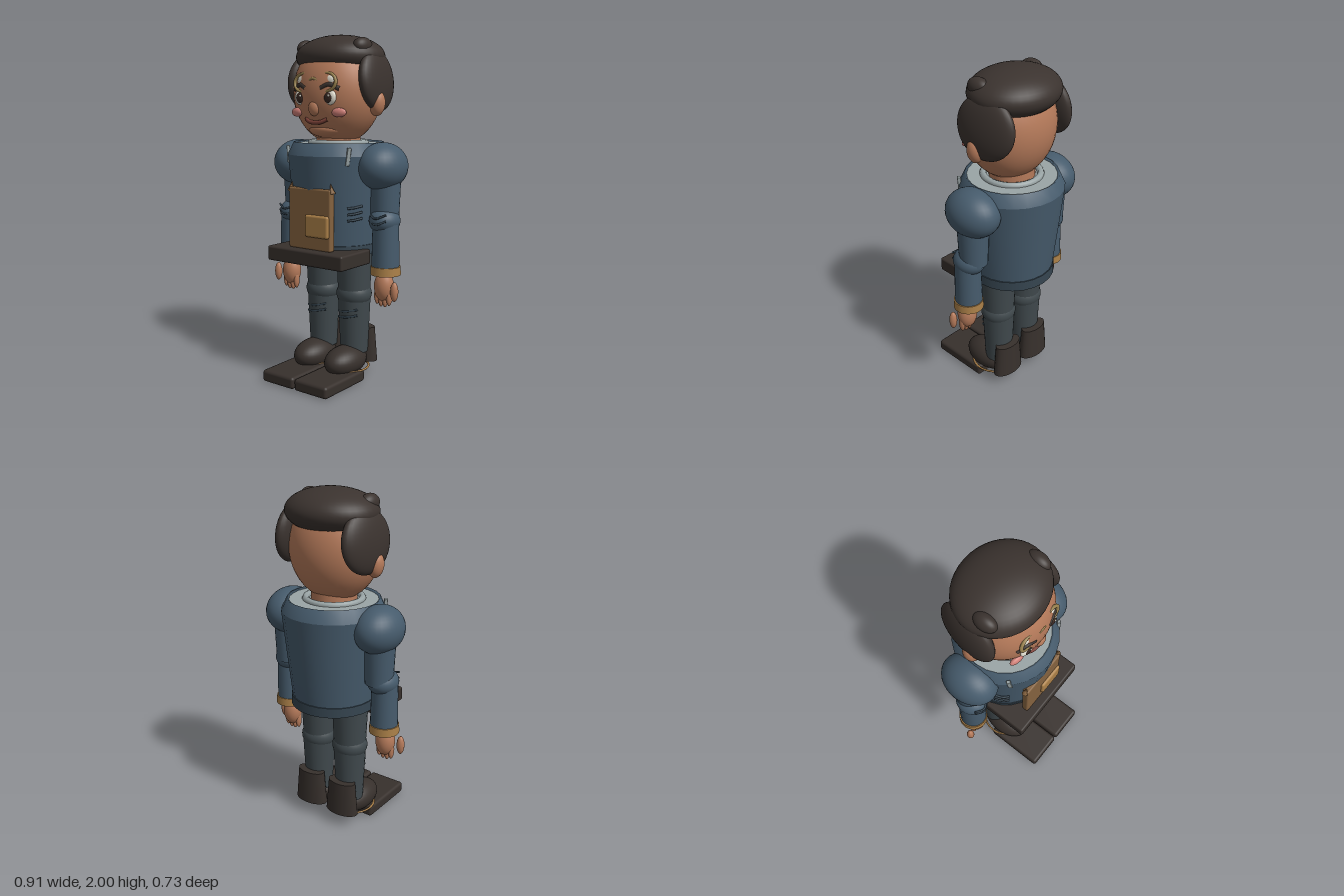
import * as THREE from 'three';
import { RoundedBoxGeometry } from 'three/addons/geometries/RoundedBoxGeometry.js';

const mat = (color) => new THREE.MeshStandardMaterial({ color, side: THREE.DoubleSide });
const skin = mat(0xb57a5a), hairMat = mat(0x3b332f), blue = mat(0x465b6c), darkBlue = mat(0x35444f),
  trouser = mat(0x40494d), leather = mat(0x37302c), brown = mat(0x84623f), gold = mat(0xab8048),
  white = mat(0xe6e2d4), shirt = mat(0x9aa5a6), iris = mat(0x3a2a24), pink = mat(0xd08078),
  lip = mat(0x7c4238), frame = mat(0x9a8350);

export function createModel() {
  const root = new THREE.Group();

  const add = (parent, name, geo, m, x = 0, y = 0, z = 0) => {
    const mesh = new THREE.Mesh(geo, m);
    mesh.name = name;
    mesh.position.set(x, y, z);
    parent.add(mesh);
    return mesh;
  };
  const ball = (parent, name, m, [x, y, z], [rx, ry, rz], seg = 32) => {
    const mesh = add(parent, name, new THREE.SphereGeometry(1, seg, Math.ceil(seg * 0.6)), m, x, y, z);
    mesh.scale.set(rx, ry, rz);
    return mesh;
  };
  // Tapered limb between two heights
  const limb = (parent, name, m, x, z, y0, y1, r0, r1, seg = 24) =>
    add(parent, name, new THREE.CylinderGeometry(r1, r0, y1 - y0, seg), m, x, (y0 + y1) / 2, z);
  const box = (parent, name, m, [x, y, z], [w, h, d], r) =>
    add(parent, name, new RoundedBoxGeometry(w, h, d, 3, r), m, x, y, z);
  const tube = (parent, name, m, pts, r) =>
    add(parent, name, new THREE.TubeGeometry(
      new THREE.CatmullRomCurve3(pts.map((p) => new THREE.Vector3(...p))), 16, r, 8), m);
  const group = (name) => {
    const g = new THREE.Group();
    g.name = name;
    root.add(g);
    return g;
  };

  // Head and central face parts
  const head = group('head');
  ball(head, 'skull', skin, [0, 1.675, -0.05], [0.268, 0.3, 0.236], 40);
  limb(head, 'neck', skin, 0, -0.06, 1.32, 1.46, 0.13, 0.13);
  ball(head, 'chin', skin, [0, 1.465, 0.06], [0.11, 0.045, 0.07]);
  ball(head, 'nose', skin, [0, 1.585, 0.165], [0.037, 0.043, 0.026]);
  tube(head, 'mouth', lip, [[-0.075, 1.525, 0.142], [-0.035, 1.508, 0.156],
    [0.035, 1.508, 0.156], [0.075, 1.525, 0.142]], 0.012);
  tube(head, 'glassesBridge', frame, [[-0.035, 1.735, 0.168], [0, 1.748, 0.175], [0.035, 1.735, 0.168]], 0.009);

  // Hair cap
  ball(head, 'hairCap', hairMat, [0, 1.875, -0.077], [0.27, 0.125, 0.236], 40);

  for (const s of [-1, 1]) {
    const sideHair = ball(head, 'sideHair', hairMat, [s * 0.238, 1.738, -0.1], [0.06, 0.175, 0.182]);
    sideHair.rotation.set(0, s * 0.12, s * 0.1);
    ball(head, 'hairTuft', hairMat, [s * 0.2, 1.925, -0.015], [0.045, 0.05, 0.07]);
    const ear = ball(head, 'ear', skin, [s * 0.274, 1.61, -0.057], [0.043, 0.07, 0.047]);
    ear.rotation.z = -s * 0.12;
    ball(head, 'eyeWhite', white, [s * 0.105, 1.645, 0.156], [0.04, 0.042, 0.018]);
    ball(head, 'iris', iris, [s * 0.1, 1.643, 0.168], [0.027, 0.029, 0.011]);
    ball(head, 'eyeGlint', white, [s * 0.1 + 0.009, 1.653, 0.177], [0.007, 0.007, 0.005], 12);
    tube(head, 'eyebrow', hairMat, [[s * 0.052, 1.695, 0.172], [s * 0.1, 1.714, 0.161],
      [s * 0.157, 1.69, 0.138]], 0.014);
    ball(head, 'cheek', pink, [s * 0.15, 1.562, 0.134], [0.044, 0.026, 0.018]).rotation.y = s * 0.2;

    // Glasses pushed up on the forehead
    const rim = add(head, 'glassesRim', new THREE.TorusGeometry(0.062, 0.01, 10, 32), frame, s * 0.083, 1.727, 0.158);
    rim.scale.y = 0.82;
    rim.rotation.x = -0.12;
    ball(head, 'lens', white, [s * 0.083, 1.738, 0.152], [0.046, 0.03, 0.012]);
  }

  // Coat body: open lathe with a shirt surface inside the collar
  const torso = group('torso');
  const profile = [[0, 0.775], [0.238, 0.775], [0.243, 0.8], [0.27, 1.05], [0.298, 1.32], [0.264, 1.392], [0.25, 1.38]];
  const coat = (pts) => new THREE.LatheGeometry(pts.map((p) => new THREE.Vector2(...p)), 24);
  // Separate bands keep the rim and shoulder edges crisp
  add(torso, 'coatBase', coat(profile.slice(0, 2)), blue, 0, 0, -0.062);
  add(torso, 'coatBody', coat(profile.slice(1, 5)), blue, 0, 0, -0.062);
  add(torso, 'coatShoulderSlope', coat(profile.slice(4)), blue, 0, 0, -0.062);
  limb(torso, 'shirtTop', shirt, 0, -0.062, 1.33, 1.382, 0.25, 0.256);
  add(torso, 'collar', new THREE.TorusGeometry(0.16, 0.02, 8, 32), shirt, 0, 1.385, -0.06).rotation.x = Math.PI / 2;
  limb(torso, 'hem', darkBlue, 0, -0.062, 0.755, 0.812, 0.252, 0.25);

  // Tray-like belt, apron and pocket
  box(torso, 'beltBlock', leather, [0, 0.748, 0.13], [0.54, 0.085, 0.28], 0.012);
  box(torso, 'apron', brown, [0, 0.965, 0.195], [0.3, 0.35, 0.042], 0.01);
  box(torso, 'apronPocket', gold, [0.06, 0.928, 0.217], [0.165, 0.128, 0.03], 0.014);
  for (const s of [-1, 1]) {
    const strap = add(torso, 'apronStrap', new THREE.ConeGeometry(0.018, 0.06, 8), brown, s * 0.145, 1.145, 0.195);
    strap.rotation.z = s * 0.25;
    const lapel = box(torso, 'lapel', shirt, [s * 0.215, 1.32, 0.136], [0.022, 0.1, 0.02], 0.004);
    lapel.rotation.set(0.1, s * 0.85, -s * 0.2);
    for (const y of [0.965, 1.0, 1.035])
      tube(torso, 'coatCrease', darkBlue, [[s * 0.2, y - 0.004, 0.122], [s * 0.228, y, 0.095], [s * 0.25, y + 0.008, 0.05]], 0.007);
  }

  for (const s of [-1, 1]) {
    // Arm
    const arm = group(s > 0 ? 'leftArm' : 'rightArm');
    ball(arm, 'shoulder', blue, [s * 0.308, 1.26, -0.065], [0.134, 0.136, 0.17]);
    limb(arm, 'upperSleeve', blue, s * 0.32, -0.075, 0.95, 1.25, 0.08, 0.092);
    ball(arm, 'elbow', blue, [s * 0.333, 0.955, -0.053], [0.087, 0.075, 0.097]);
    limb(arm, 'forearmSleeve', blue, s * 0.343, -0.05, 0.675, 0.95, 0.08, 0.075);
    limb(arm, 'cuff', gold, s * 0.345, -0.05, 0.648, 0.697, 0.087, 0.085);
    for (const y of [0.955, 0.99])
      tube(arm, 'sleeveCrease', darkBlue, [[s * 0.29, y, 0.025], [s * 0.335, y - 0.012, 0.044], [s * 0.39, y + 0.01, 0.02]], 0.006);

    // Hand
    ball(arm, 'palm', skin, [s * 0.345, 0.58, -0.035], [0.058, 0.088, 0.055]);
    for (let i = 0; i < 4; i++) {
      const drop = i === 0 || i === 3 ? 0.012 : 0;
      ball(arm, 'finger', skin, [s * (0.303 + i * 0.027), 0.515 + drop, -0.03], [0.016, 0.055, 0.022], 16);
    }
    ball(arm, 'thumb', skin, [s * 0.432, 0.565, -0.008], [0.023, 0.056, 0.023], 20);

    // Leg
    const leg = group(s > 0 ? 'leftLeg' : 'rightLeg');
    const x = s * 0.115;
    limb(leg, 'thigh', trouser, x, -0.063, 0.5, 0.79, 0.095, 0.108);
    ball(leg, 'knee', trouser, [x, 0.5, -0.063], [0.106, 0.085, 0.103]);
    limb(leg, 'shin', trouser, x, -0.065, 0.15, 0.5, 0.082, 0.098);
    for (const y of [0.37, 0.405])
      tube(leg, 'trouserCrease', darkBlue, [[x - 0.07, y - 0.012, -0.005], [x, y, 0.026], [x + 0.07, y + 0.016, 0.0]], 0.007);

    // Boot
    const shaft = limb(leg, 'bootShaft', leather, x, -0.143, 0.08, 0.285, 0.108, 0.09);
    shaft.scale.z = 0.56;
    ball(leg, 'bootToe', leather, [x, 0.11, 0.02], [0.103, 0.088, 0.16]);
    const welt = add(leg, 'bootWelt', new THREE.TorusGeometry(0.115, 0.006, 8, 36), gold, x, 0.068, -0.01);
    welt.rotation.x = Math.PI / 2;
    welt.scale.y = 1.12;
    box(leg, 'sole', leather, [s * 0.12, 0.035, 0.178], [0.232, 0.07, 0.374], 0.018);
  }
  return root;
}
